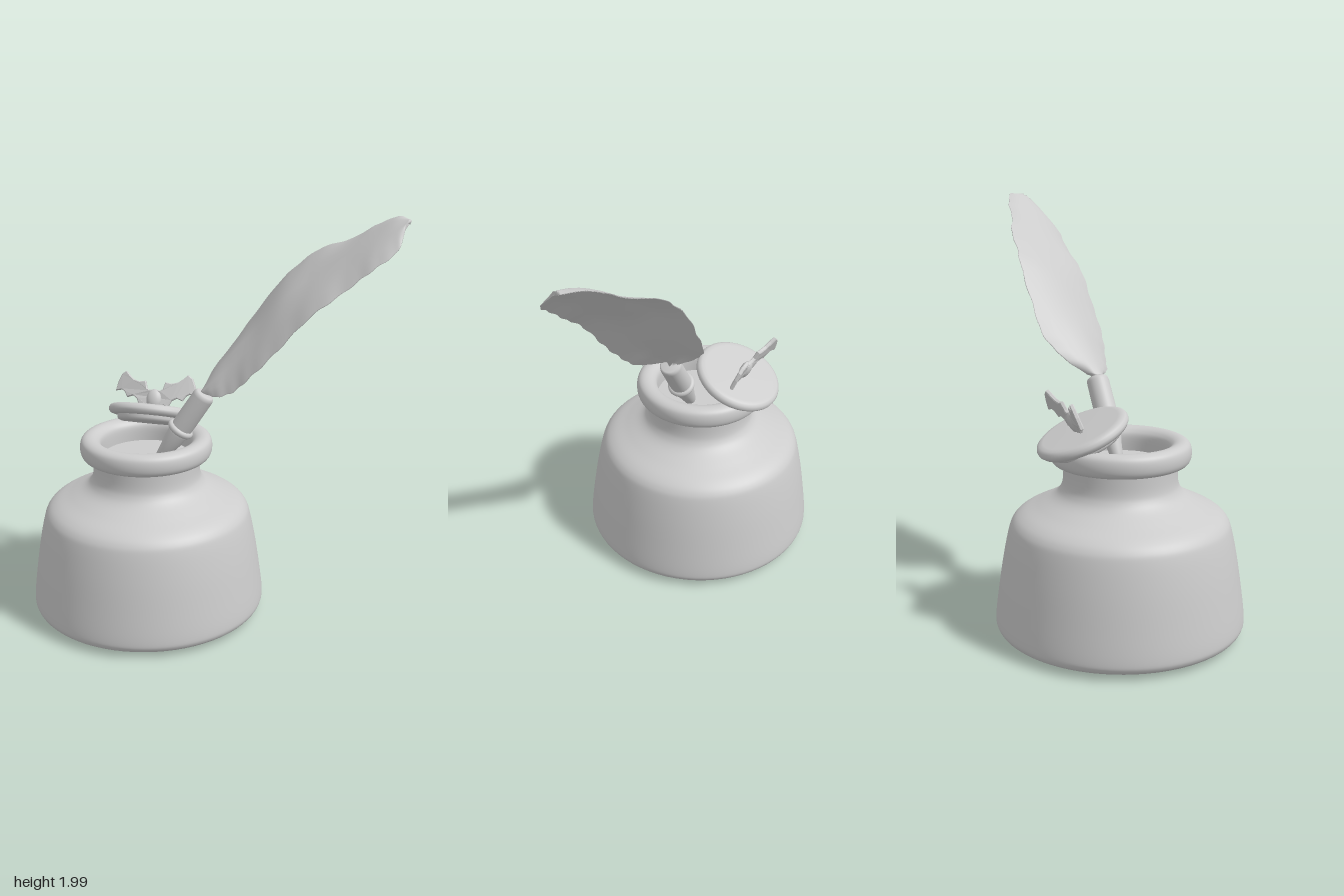
import * as THREE from 'three';

const stone = new THREE.MeshStandardMaterial({ color: 0xcccccc });
stone.name = 'paleGrey';

function add(parent, name, geometry) {
  const mesh = new THREE.Mesh(geometry, stone);
  mesh.name = name;
  parent.add(mesh);
  return mesh;
}

// Smooth turned shape from a few profile points (radius, height)
function turned(points, samples, sides = 72) {
  const curve = new THREE.SplineCurve(points.map(p => new THREE.Vector2(...p)));
  const profile = curve.getPoints(samples);
  profile.forEach(p => { p.x = Math.max(p.x, 0); });
  return new THREE.LatheGeometry(profile, sides);
}

const lathe = (points, sides = 48) =>
  new THREE.LatheGeometry(points.map(p => new THREE.Vector2(...p)), sides);

const path = points => new THREE.CatmullRomCurve3(points.map(p => new THREE.Vector3(...p)));

// Closed blade lofted between its back edge, shaft and front edge
function featherGeometry() {
  const back = path([[-0.02, 1.16, -0.05], [0, 1.24, -0.16], [0.06, 1.33, -0.235], [0.165, 1.49, -0.27],
    [0.32, 1.69, -0.28], [0.455, 1.805, -0.275], [0.63, 1.88, -0.225], [0.745, 1.95, -0.205],
    [0.835, 1.99, -0.17], [0.893, 1.98, -0.1]]);
  const shaft = path([[-0.03, 1.14, 0], [0.03, 1.23, -0.02], [0.1, 1.32, -0.04], [0.2, 1.43, -0.055],
    [0.34, 1.6, -0.07], [0.47, 1.705, -0.08], [0.62, 1.82, -0.085], [0.74, 1.905, -0.085],
    [0.82, 1.955, -0.085], [0.885, 1.975, -0.08]]);
  const front = path([[-0.01, 1.15, 0.03], [0.05, 1.155, 0.075], [0.14, 1.19, 0.11], [0.23, 1.285, 0.125],
    [0.36, 1.42, 0.13], [0.51, 1.59, 0.12], [0.65, 1.7, 0.09], [0.76, 1.79, 0.08],
    [0.85, 1.87, 0.03], [0.87, 1.95, -0.05]]);
  const steps = 90, half = 6, ring = half * 2 + 2;
  const thickness = [0.003, 0.006, 0.007, 0.018, 0.007, 0.006, 0.003];
  const positions = [], index = [];
  for (let i = 0; i <= steps; i++) {
    const t = i / steps;
    const b = back.getPoint(t), s = shaft.getPoint(t), f = front.getPoint(t);
    // Ragged edges
    b.lerp(s, 0.03 + 0.03 * Math.sin(t * 61) * Math.sin(t * 23));
    f.lerp(s, 0.03 + 0.04 * Math.sin(t * 53 + 1) * Math.sin(t * 29));
    const normal = f.clone().sub(b).cross(shaft.getTangent(t)).normalize();
    const thin = 1 - 0.55 * t;
    const row = [];
    for (let j = 0; j <= half; j++) {
      const u = j / half * 2;
      const p = u <= 1 ? b.clone().lerp(s, u) : s.clone().lerp(f, u - 1);
      const bulge = Math.sin(Math.PI * (u % 1)) * 0.012;
      row.push(p.addScaledVector(normal, bulge));
    }
    row.forEach((p, j) => positions.push(...p.clone().addScaledVector(normal, thickness[j] * thin)));
    for (let j = half; j >= 0; j--) {
      positions.push(...row[j].clone().addScaledVector(normal, -thickness[j] * thin));
    }
  }
  for (let i = 0; i < steps; i++) {
    for (let j = 0; j < ring; j++) {
      const k = (j + 1) % ring;
      const a = i * ring + j, b = i * ring + k;
      index.push(a, b, a + ring, b, b + ring, a + ring);
    }
  }
  // End caps
  const last = steps * ring;
  for (let j = 1; j < ring - 1; j++) {
    index.push(0, j + 1, j, last, last + j, last + j + 1);
  }
  const geometry = new THREE.BufferGeometry();
  geometry.setAttribute('position', new THREE.Float32BufferAttribute(positions, 3));
  geometry.setIndex(index);
  geometry.computeVertexNormals();
  return geometry;
}

// Flat winged ornament, mirrored about its middle and swept back at the tips
function wingGeometry() {
  const halfOutline = [[0, 0.115], [0.03, 0.11], [0.045, 0.12], [0.055, 0.155], [0.085, 0.15],
    [0.12, 0.16], [0.145, 0.18], [0.165, 0.2], [0.185, 0.185], [0.2, 0.15], [0.212, 0.105],
    [0.18, 0.112], [0.16, 0.1], [0.145, 0.075], [0.115, 0.085], [0.09, 0.07], [0.075, 0.04],
    [0.05, 0.045], [0.03, 0.02], [0, 0.015]];
  const mirrored = halfOutline.slice(1, -1).reverse().map(([x, y]) => [-x, y]);
  const shape = new THREE.Shape([...halfOutline, ...mirrored].map(p => new THREE.Vector2(...p)));
  const geometry = new THREE.ExtrudeGeometry(shape, {
    depth: 0.012, bevelEnabled: true, bevelSize: 0.004, bevelThickness: 0.004, bevelSegments: 1,
  });
  const pos = geometry.attributes.position;
  for (let i = 0; i < pos.count; i++) {
    pos.setZ(i, pos.getZ(i) - 0.6 * pos.getX(i) ** 2);
  }
  geometry.computeVertexNormals();
  return geometry;
}

export function createModel() {
  const model = new THREE.Group();
  model.name = 'inkwellWithQuill';

  // Bottle: body, neck and mouth
  const bottle = new THREE.Group();
  bottle.name = 'bottle';
  bottle.position.x = -0.32;
  model.add(bottle);
  add(bottle, 'bottleBase', lathe([[0, 0], [0.42, 0.004], [0.51, 0.012]], 72));
  add(bottle, 'bottleBody', turned([[0.505, 0.011], [0.55, 0.022], [0.576, 0.045], [0.58, 0.09],
    [0.562, 0.23], [0.54, 0.37], [0.515, 0.49], [0.495, 0.54], [0.455, 0.575], [0.38, 0.612],
    [0.31, 0.65], [0.277, 0.685], [0.264, 0.73], [0.261, 0.82]], 80));
  add(bottle, 'bottleLip', turned([[0.255, 0.802], [0.3, 0.805], [0.32, 0.825], [0.325, 0.86],
    [0.317, 0.892], [0.295, 0.908], [0.265, 0.909], [0.238, 0.895], [0.222, 0.865], [0.22, 0.79]], 50));
  add(bottle, 'inkSurface', new THREE.CircleGeometry(0.225, 48).rotateX(-Math.PI / 2)).position.y = 0.8;

  // Lid tipped back on the rim
  const lid = new THREE.Group();
  lid.name = 'lid';
  lid.position.set(-0.35, 0.958, -0.195);
  lid.rotation.x = -0.41;
  model.add(lid);
  add(lid, 'lidDisc', lathe([[0, -0.025], [0.19, -0.025], [0.207, -0.02], [0.217, -0.008], [0.219, 0.004],
    [0.213, 0.018], [0.2, 0.026], [0.18, 0.029], [0, 0.03]], 64));
  add(lid, 'lidPlug', lathe([[0, -0.055], [0.15, -0.055], [0.165, -0.05], [0.172, -0.038], [0.172, -0.02]], 64));

  // Winged handle
  add(lid, 'wingedHandle', wingGeometry()).position.z = -0.022;
  const body = add(lid, 'handleBody', new THREE.SphereGeometry(1, 20, 14));
  body.scale.set(0.04, 0.052, 0.026);
  body.position.set(0, 0.068, -0.015);

  // Quill holder: nib, collar and grip
  const tip = new THREE.Vector3(-0.255, 0.785, 0.015);
  const direction = new THREE.Vector3(-0.015, 1.15, -0.002).sub(tip).normalize();
  const holder = new THREE.Group();
  holder.name = 'quillHolder';
  holder.position.copy(tip);
  holder.quaternion.setFromUnitVectors(new THREE.Vector3(0, 1, 0), direction);
  model.add(holder);
  add(holder, 'nib', lathe([[0, 0], [0.018, 0.006], [0.03, 0.03], [0.038, 0.09], [0.048, 0.14], [0.05, 0.2]], 32));
  add(holder, 'grip', lathe([[0.052, 0.18], [0.054, 0.25], [0.053, 0.405], [0.05, 0.42], [0.042, 0.427],
    [0, 0.428]], 32));
  const collar = add(holder, 'collar', new THREE.TorusGeometry(0.052, 0.016, 12, 32).rotateX(Math.PI / 2));
  collar.position.y = 0.205;

  // Feather
  add(model, 'feather', featherGeometry());
  return model;
}
